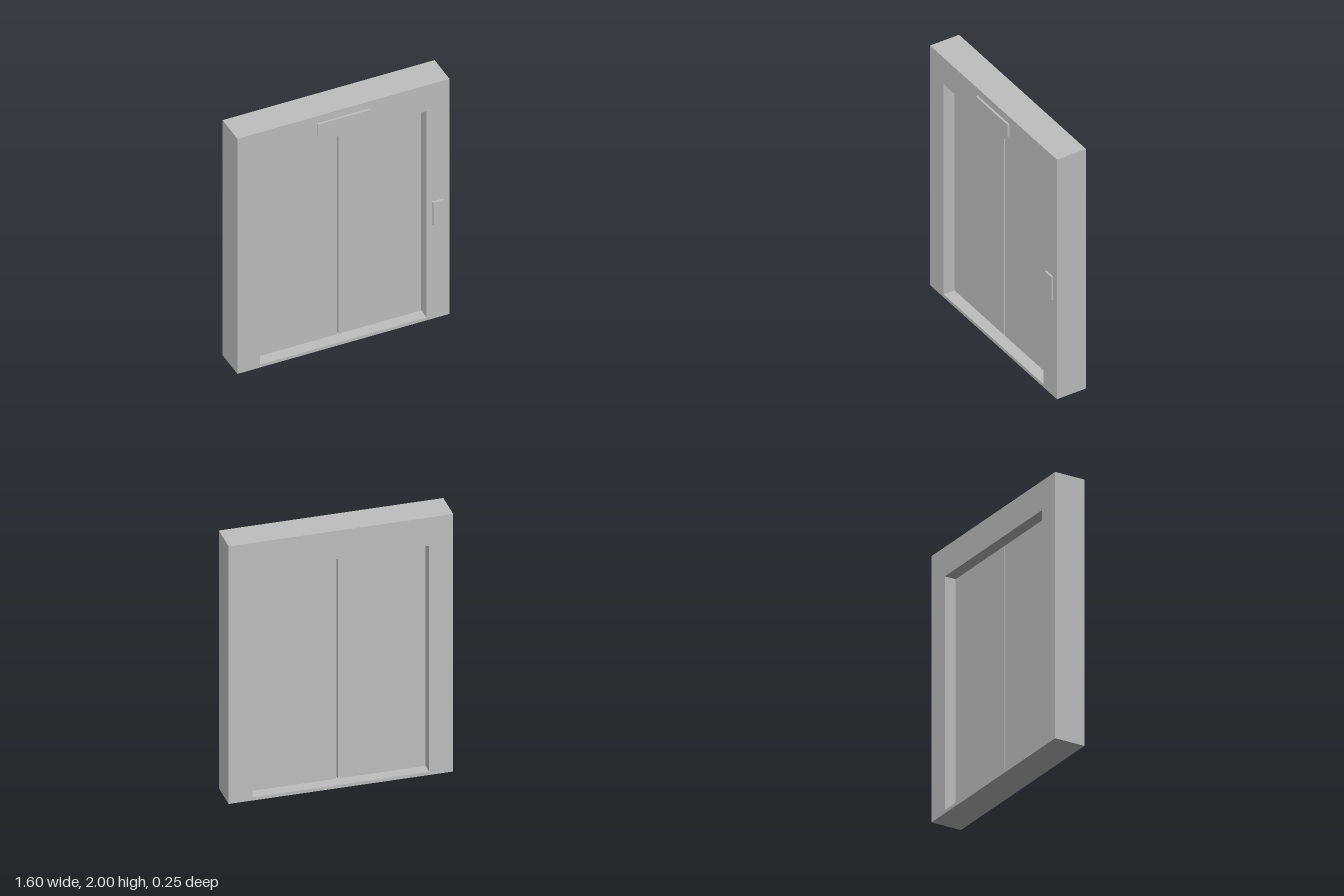
import * as THREE from 'three';

export function createModel() {
  const group = new THREE.Group();
  group.name = 'elevatorDoors';
  const grey = new THREE.MeshStandardMaterial({ color: 0xbfbfbf });
  grey.name = 'grey';

  const back = -0.125, front = 0.11, mid = (back + front) / 2;
  const openX = 0.627, sill = 0.025, lintel = 1.78;

  const add = (name, geometry, x, y, z) => {
    const mesh = new THREE.Mesh(geometry, grey);
    mesh.name = name;
    mesh.position.set(x, y, z);
    group.add(mesh);
  };

  const rect = (Type, x0, y0, x1, y1) =>
    new Type([[x0, y0], [x1, y0], [x1, y1], [x0, y1]].map(([x, y]) => new THREE.Vector2(x, y)));

  // Wall surround with its doorway and low sill
  const wall = rect(THREE.Shape, -0.798, 0, 0.798, 2);
  wall.holes.push(rect(THREE.Path, -openX, sill, openX, lintel));
  const wallGeometry = new THREE.ExtrudeGeometry(wall, { depth: front - back, bevelEnabled: false });
  add('doorFrame', wallGeometry, 0, 0, back);

  // Two sliding doors with a narrow open gap between them
  const gap = 0.012, doorWidth = openX - gap / 2;
  for (const [name, side] of [['leftDoor', 1], ['rightDoor', -1]]) {
    add(name, new THREE.BoxGeometry(doorWidth, lintel - sill, 0.06),
      side * (gap + doorWidth) / 2, (sill + lintel) / 2, mid);
  }

  // Raised floor indicator and call panel on the front
  const raised = 0.015;
  add('floorIndicator', new THREE.BoxGeometry(0.4, 0.1, raised), 0, 1.89, front + raised / 2);
  add('callPanel', new THREE.BoxGeometry(0.08, 0.195, raised), 0.71, 0.9, front + raised / 2);

  return group;
}
